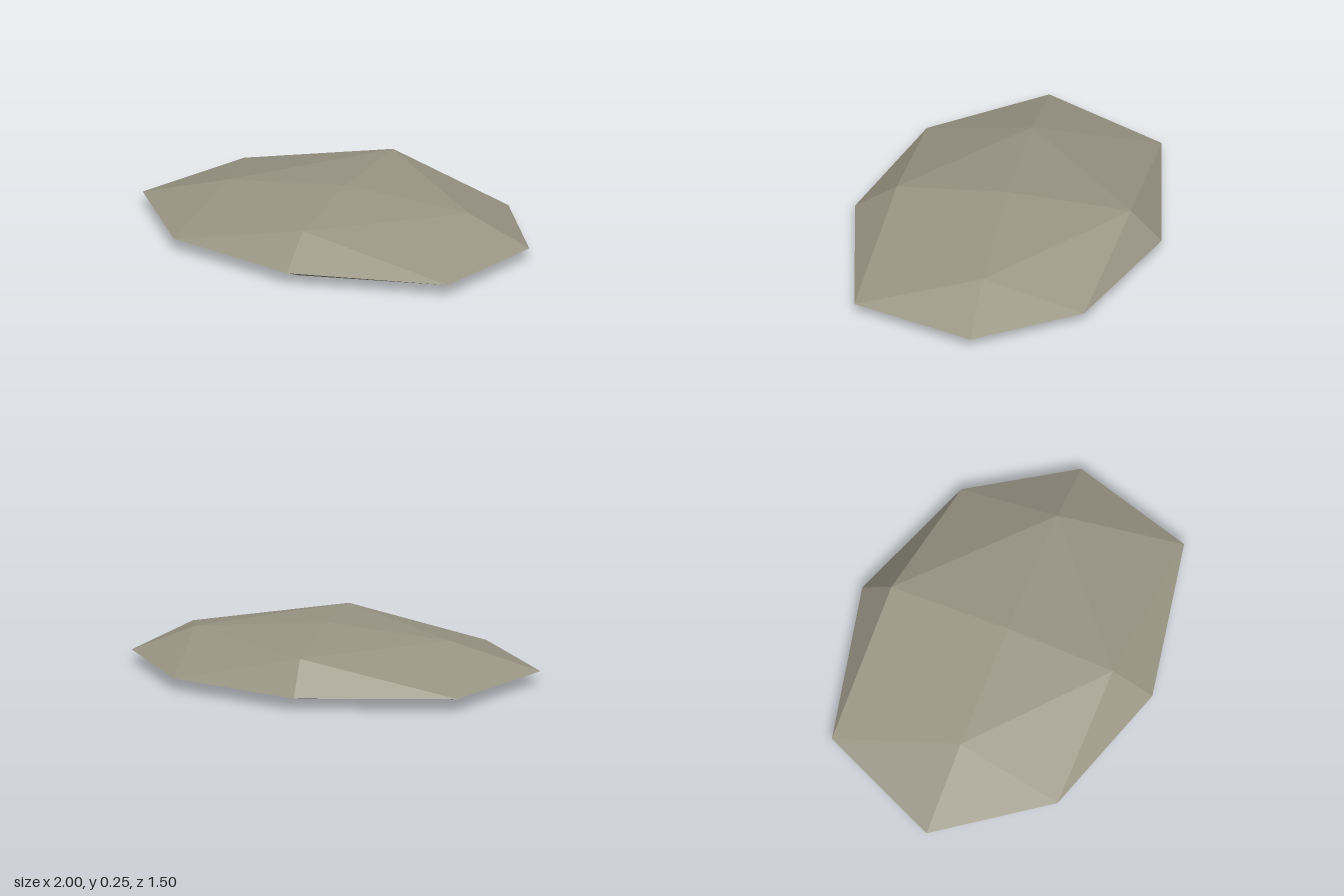
import * as THREE from 'three';

// Cross-sections, each running from +x towards +z: [x, z] or [x, y, z]
const RIM_Y = 0.064;
const rim = [
  [1, 0], [0.825, 0.6], [0.05, 0.745], [-0.625, 0.525],
  [-1, 0], [-0.72, -0.6], [0.05, -0.75], [0.69, -0.495],
].map(([x, z]) => [x, RIM_Y, z]);
const upperRing = [[0.69, 0.198, 0], [0.05, 0.207, 0.542], [-0.56, 0.19, 0], [0.05, 0.222, -0.6]];
const lowerRing = [[0.81, 0, 0], [0.05, 0, 0.595], [-0.66, 0, 0], [0.05, 0, -0.505]];

// Faceted cap: a pole, a ring of four and the shared rim of eight
function capGeometry(pole, ring, facesUp) {
  const points = [];
  const face = (a, b, c) => points.push(...a, ...(facesUp ? b : c), ...(facesUp ? c : b));
  for (let i = 0; i < 4; i++) {
    const j = (i + 1) % 4;
    const corner = rim[2 * i + 1];
    face(pole, ring[j], ring[i]);
    face(ring[i], ring[j], corner);
    face(ring[i], corner, rim[2 * i]);
    face(ring[j], rim[2 * j], corner);
  }
  const geometry = new THREE.BufferGeometry();
  geometry.setAttribute('position', new THREE.Float32BufferAttribute(points, 3));
  geometry.computeVertexNormals();
  return geometry;
}

export function createModel() {
  const stone = new THREE.MeshStandardMaterial({ color: 0x9a9685, flatShading: true });
  stone.name = 'stone';

  const group = new THREE.Group();
  group.name = 'flatStone';

  // Domed upper half and flat-bottomed lower half
  const top = new THREE.Mesh(capGeometry([0.05, 0.25, 0], upperRing, true), stone);
  top.name = 'stoneTop';
  const base = new THREE.Mesh(capGeometry([0.05, 0, 0], lowerRing, false), stone);
  base.name = 'stoneBase';
  group.add(top, base);
  return group;
}
